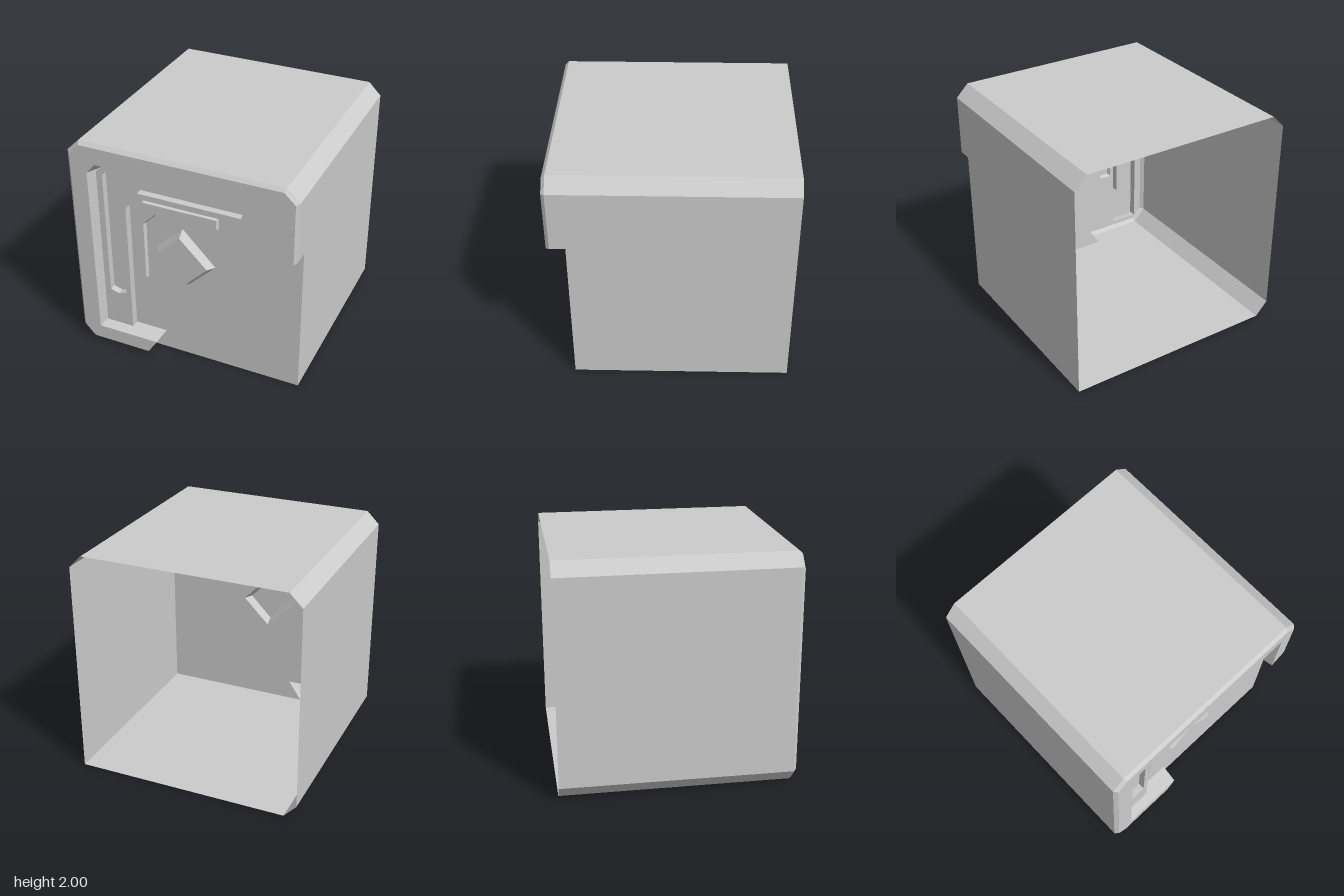
import * as THREE from 'three';

const material = new THREE.MeshStandardMaterial({
  color: 0xcccccc, flatShading: true, side: THREE.DoubleSide,
});

// Lift a flat outline to depth z
const at = (points, z) => points.map(([x, y]) => [x, y, z]);

function triangles(list) {
  const geometry = new THREE.BufferGeometry();
  geometry.setAttribute('position', new THREE.Float32BufferAttribute(list.flat(), 3));
  geometry.computeVertexNormals();
  return geometry;
}

// Skin a series of outlines that share a point count
function loft(rows, closed) {
  const out = [];
  const n = rows[0].length;
  for (let i = 0; i < rows.length - 1; i++) {
    for (let j = 0; j < (closed ? n : n - 1); j++) {
      const k = (j + 1) % n;
      const a = rows[i][j], b = rows[i][k], c = rows[i + 1][k], d = rows[i + 1][j];
      out.push(a, b, c, a, c, d);
    }
  }
  return triangles(out);
}

// Flat sheet facing the front, with optional holes
function sheet(points, z, holes = []) {
  const toVectors = (list) => list.map(([x, y]) => new THREE.Vector2(x, y));
  const shape = new THREE.Shape(toVectors(points));
  holes.forEach((h) => shape.holes.push(new THREE.Path(toVectors(h))));
  return new THREE.ShapeGeometry(shape).translate(0, 0, z);
}

export function createModel() {
  const model = new THREE.Group();
  const add = (name, geometry, parent = model) => {
    const mesh = new THREE.Mesh(geometry, material);
    mesh.name = name;
    parent.add(mesh);
  };
  const group = (name) => {
    const g = new THREE.Group();
    g.name = name;
    model.add(g);
    return g;
  };

  const floorZ = 0.84, bandZ = 0.91;

  // Frame outlines, counter-clockwise from the right-hand end to the bottom end
  const outer = [[1, 1.36], [1, 1.89], [0.89, 2], [-0.89, 2],
    [-1, 1.89], [-1, 0.12], [-0.89, 0], [-0.36, 0]];
  const rim = [[0.975, 1.345], [0.975, 1.88], [0.88, 1.97], [-0.88, 1.97],
    [-0.97, 1.87], [-0.97, 0.13], [-0.88, 0.03], [-0.34, 0.03]];
  const innerRim = [[0.845, 1.255], [0.845, 1.82], [0.845, 1.82], [-0.74, 1.82],
    [-0.82, 1.73], [-0.815, 0.16], [-0.815, 0.16], [-0.255, 0.16]];
  const innerBase = [[0.82, 1.24], [0.82, 1.79], [0.82, 1.79], [-0.7, 1.79],
    [-0.79, 1.7], [-0.79, 0.18], [-0.79, 0.18], [-0.24, 0.18]];

  // Hollow body, open at the back
  const body = [...outer, [1, 0]];
  add('bodyWalls', loft([at(body, -1), at(body, floorZ)], true));

  // Raised, bevelled front frame with slanting cut ends
  const frame = group('frontFrame');
  const rows = [at(outer, floorZ), at(outer, 0.97), at(rim, 1), at(innerRim, 1), at(innerBase, floorZ)];
  add('frameRim', loft(rows, false), frame);
  const endCap = (index, flip) => {
    const p = rows.map((row) => row[index]);
    const out = [];
    for (let i = 1; i < p.length - 1; i++) {
      out.push(p[0], ...(flip ? [p[i + 1], p[i]] : [p[i], p[i + 1]]));
    }
    return triangles(out);
  };
  add('frameRightEnd', endCap(0, false), frame);
  add('frameBottomEnd', endCap(outer.length - 1, true), frame);

  // Raised corner band with a sunken channel
  const bandEdge = [[-0.535, 0.18], [-0.535, 1.415], [-0.42, 1.535], [0.82, 1.535]];
  const channel = [[0.5, 1.735], [-0.68, 1.735], [-0.735, 1.68], [-0.735, 0.53],
    [-0.66, 0.505], [-0.58, 0.53], [-0.58, 1.43], [-0.42, 1.585], [0.495, 1.585], [0.525, 1.66]];
  const bandOutline = [...bandEdge, [0.82, 1.79], [-0.7, 1.79], [-0.79, 1.7], [-0.79, 0.18]];
  const band = group('cornerBand');
  add('bandFace', sheet(bandOutline, bandZ, [channel]), band);
  add('bandEdge', loft([at(bandEdge, floorZ), at(bandEdge, bandZ)], false), band);
  add('channelWalls', loft([at(channel, bandZ), at(channel, 0.85)], true), band);
  add('channelFloor', sheet(channel, 0.85), band);

  // Bevelled raised pieces: small corner bar and diamond
  const barBase = [[0.275, 1.5], [-0.4, 1.5], [-0.5, 1.4], [-0.5, 0.725],
    [-0.385, 0.725], [-0.385, 1.275], [-0.275, 1.39], [0.275, 1.39]];
  const barTop = [[0.265, 1.485], [-0.395, 1.485], [-0.485, 1.39], [-0.485, 0.74],
    [-0.395, 0.74], [-0.395, 1.28], [-0.28, 1.4], [0.265, 1.4]];
  const diamondBase = [[-0.05, 1.3], [-0.3, 1.06], [0, 0.76], [0.24, 1]];
  const diamondTop = [[-0.05, 1.25], [-0.245, 1.055], [0, 0.805], [0.195, 1.005]];
  const raised = (name, base, top, z) => {
    const g = group(name);
    add(name + 'Bevel', loft([at(base, floorZ), at(top, z)], true), g);
    add(name + 'Face', sheet(top, z), g);
  };
  raised('cornerBar', barBase, barTop, 0.875);
  raised('diamond', diamondBase, diamondTop, bandZ);

  // Recessed front panel, cut out beneath the raised pieces
  const panel = [[-0.535, 0.18], [-0.24, 0.18], [-0.36, 0], [1, 0], [1, 1.36], [0.82, 1.24],
    [0.82, 1.535], [-0.42, 1.535], [-0.535, 1.415]];
  add('frontPanel', sheet(panel, floorZ, [barBase, diamondBase]));

  return model;
}
